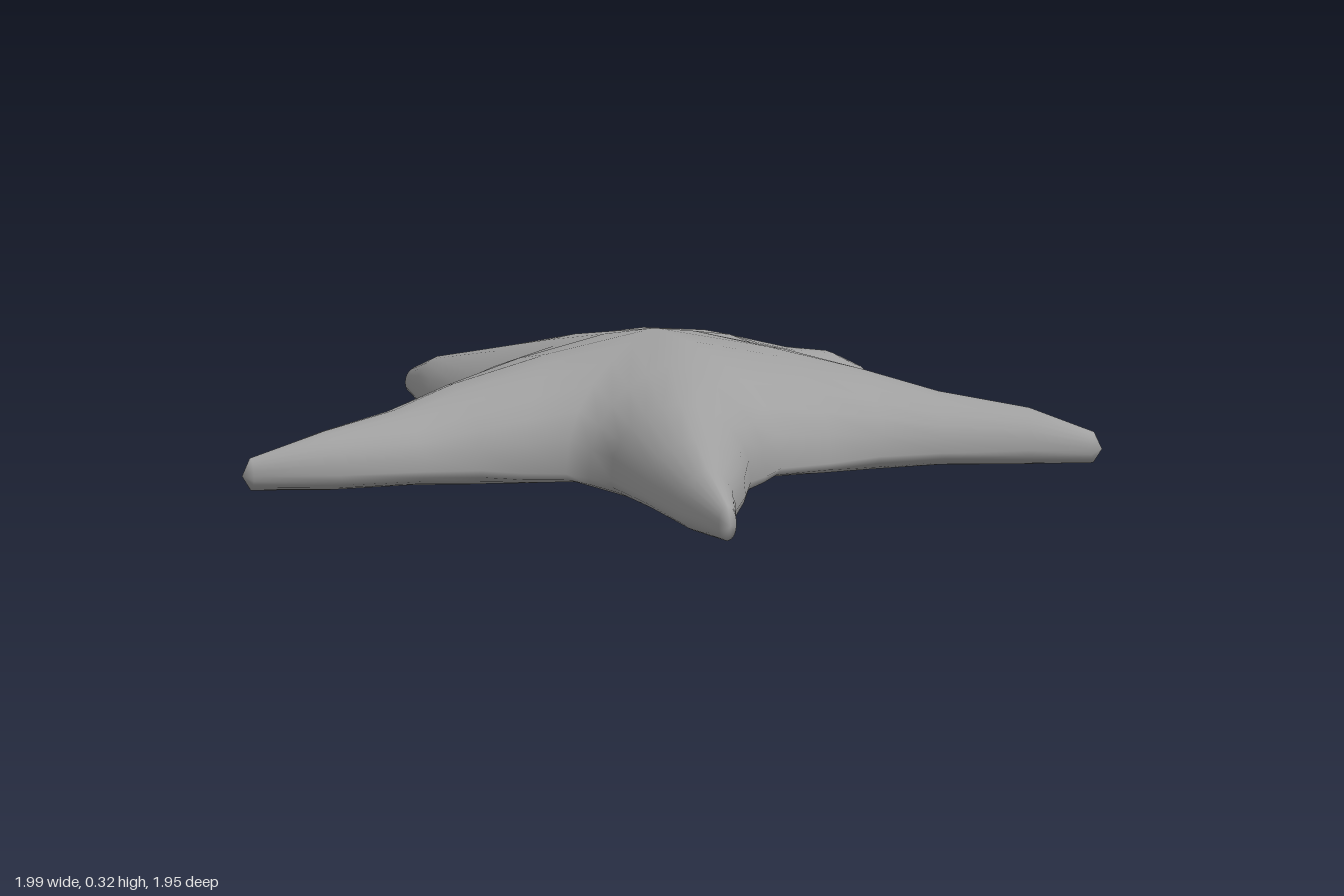
import * as THREE from 'three';
import { mergeVertices } from 'three/addons/utils/BufferGeometryUtils.js';

const STEPS = 6; // points from an arm's edge to its ridge
const CENTRE = [-0.03, 0];
// Heights at each station from the centre to the arm tip
const RIDGE_Y = [0.322, 0.283, 0.235, 0.19, 0.16, 0.11];
const EDGE_Y = [0.055, 0.055, 0.06, 0.065, 0.07, 0.07];
const BELLY_Y = [0, 0.002, 0.007, 0.02, 0.027, 0.036];

// Valleys between neighbouring arms, as [x, z]
const VALLEYS = [[-0.36, -0.345], [0.18, -0.37], [0.43, 0.21], [0.04, 0.515], [-0.45, 0.24]];

// Both edges of each arm from valley to tip, clockwise seen from above
const ARMS = [
  { // back
    a: [[-0.24, -0.51], [-0.16, -0.7], [-0.09, -0.86], [0.015, -0.96]],
    b: [[0.11, -0.49], [0.09, -0.66], [0.08, -0.85], [0.065, -0.96]],
  },
  { // left
    a: [[0.33, -0.33], [0.55, -0.345], [0.8, -0.345], [0.975, -0.335]],
    b: [[0.57, -0.01], [0.69, -0.1], [0.86, -0.21], [0.985, -0.29]],
  },
  { // front left
    a: [[0.46, 0.41], [0.54, 0.58], [0.61, 0.75], [0.675, 0.865]],
    b: [[0.18, 0.55], [0.35, 0.69], [0.52, 0.83], [0.65, 0.895]],
  },
  { // front right
    a: [[-0.13, 0.6], [-0.22, 0.7], [-0.34, 0.85], [-0.5, 0.96]],
    b: [[-0.42, 0.4], [-0.45, 0.6], [-0.48, 0.78], [-0.53, 0.945]],
  },
  { // right
    a: [[-0.55, 0.11], [-0.75, -0.06], [-0.86, -0.17], [-0.985, -0.3]],
    b: [[-0.45, -0.29], [-0.66, -0.285], [-0.82, -0.32], [-0.965, -0.38]],
  },
];

const mix = (p, q, t) => [p[0] + (q[0] - p[0]) * t, p[1] + (q[1] - p[1]) * t];

// Point on the skin, between an edge (s = 0) and the middle line (s = STEPS)
function skinPoint(edge, mid, s, station, top) {
  const angle = (s / STEPS) * Math.PI / 2;
  const u = 1 - Math.cos(angle);
  const curve = Math.pow(Math.sin(angle), 0.85);
  const rise = top ? 0.88 * curve + 0.12 * u : curve;
  const targetY = top ? RIDGE_Y[station] : BELLY_Y[station];
  const [x, z] = mix(edge, mid, u);
  return [x, EDGE_Y[station] + (targetY - EDGE_Y[station]) * rise, z];
}

// Closed cross-section: over the top from edge a to b, then back underneath
function section(a, b, mid, station) {
  const ring = [];
  for (const top of [true, false]) {
    const [from, to] = top ? [a, b] : [b, a];
    for (let s = 0; s < STEPS; s++) ring.push(skinPoint(from, mid, s, station, top));
    for (let s = STEPS; s > 0; s--) ring.push(skinPoint(to, mid, s, station, top));
  }
  return ring;
}

function addArm(positions, arm, index) {
  // An extra station near the valley rounds the central dome
  const [sideA, sideB] = [[VALLEYS[index], arm.a], [VALLEYS[(index + 1) % 5], arm.b]]
    .map(([valley, edge]) => [valley, mix(valley, edge[0], 0.5), ...edge]);
  const mids = sideA.map((p, k) => mix(p, sideB[k], 0.5));
  mids[0] = CENTRE;
  mids[1] = mix(CENTRE, mids[2], 0.55);
  const rings = sideA.map((p, k) => section(p, sideB[k], mids[k], k));
  const n = rings[0].length;

  // Skin between neighbouring sections
  for (let k = 0; k < rings.length - 1; k++) {
    for (let j = 0; j < n; j++) {
      const i = (j + 1) % n;
      const p = rings[k][j], q = rings[k][i], r = rings[k + 1][i], t = rings[k + 1][j];
      positions.push(...p, ...q, ...r, ...p, ...r, ...t);
    }
  }

  // Blunt tip
  const last = mids.length - 1;
  const dx = mids[last][0] - mids[last - 1][0], dz = mids[last][1] - mids[last - 1][1];
  const reach = 0.02 / Math.hypot(dx, dz);
  const tip = [mids[last][0] + dx * reach, 0.07, mids[last][1] + dz * reach];
  for (let j = 0; j < n; j++) positions.push(...rings[last][j], ...rings[last][(j + 1) % n], ...tip);
}

export function createModel() {
  const positions = [];
  ARMS.forEach((arm, i) => addArm(positions, arm, i));

  // Weld the arms along the valleys so the whole body shades smoothly
  let geometry = new THREE.BufferGeometry();
  geometry.setAttribute('position', new THREE.Float32BufferAttribute(positions, 3));
  geometry = mergeVertices(geometry, 1e-4);
  geometry.computeVertexNormals();

  const body = new THREE.Mesh(geometry, new THREE.MeshStandardMaterial({ color: 0xa0a0a0 }));
  body.name = 'starfishBody';
  const group = new THREE.Group();
  group.name = 'starfish';
  group.add(body);
  return group;
}
